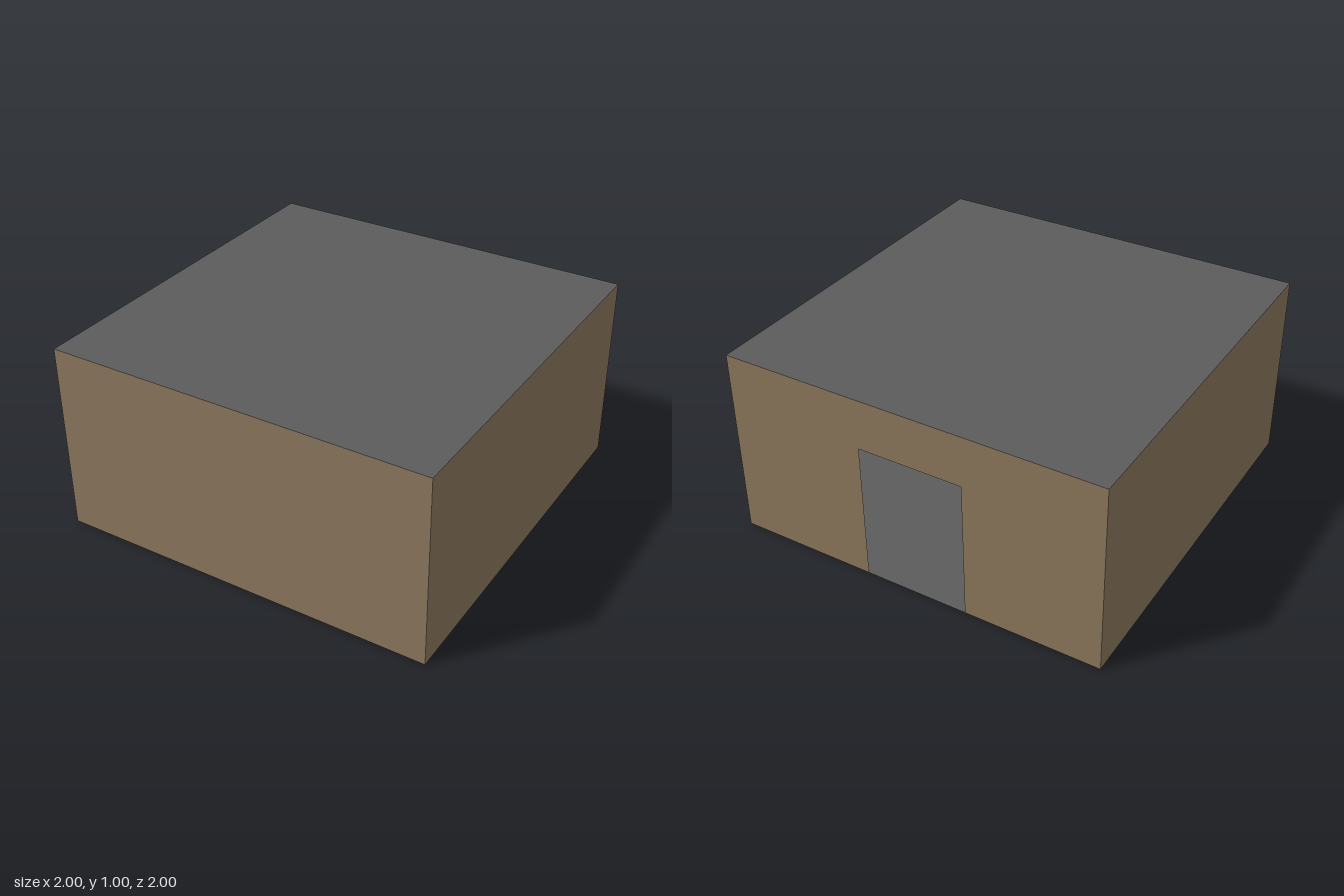
import * as THREE from 'three';

const SIZE = 2, HEIGHT = 1;
const DOOR = { left: -0.26, right: 0.29, top: 0.735 }; // as seen from behind

export function createModel() {
  const model = new THREE.Group();
  model.name = 'room';

  const wallMaterial = new THREE.MeshStandardMaterial({ color: 0x8b775c, side: THREE.DoubleSide });
  wallMaterial.name = 'tan wall';
  const slabMaterial = new THREE.MeshStandardMaterial({ color: 0x5c5c5c, side: THREE.DoubleSide });
  slabMaterial.name = 'dark grey slab';

  // Each wall is a thin sheet facing outwards, turned about the centre
  function addWall(name, angle, geometry) {
    geometry.translate(0, 0, SIZE / 2);
    const wall = new THREE.Mesh(geometry, wallMaterial);
    wall.name = name;
    wall.rotation.y = angle;
    model.add(wall);
  }
  const plainWall = () => new THREE.PlaneGeometry(SIZE, HEIGHT).translate(0, HEIGHT / 2, 0);
  addWall('frontWall', 0, plainWall());
  addWall('leftWall', Math.PI / 2, plainWall());
  addWall('rightWall', -Math.PI / 2, plainWall());

  // Back wall with a doorway notched up from the floor
  const half = SIZE / 2;
  const outline = [
    [-half, 0], [DOOR.left, 0], [DOOR.left, DOOR.top], [DOOR.right, DOOR.top],
    [DOOR.right, 0], [half, 0], [half, HEIGHT], [-half, HEIGHT],
  ].map(([x, y]) => new THREE.Vector2(x, y));
  addWall('backWallWithDoorway', Math.PI, new THREE.ShapeGeometry(new THREE.Shape(outline)));

  // Floor and flat roof
  for (const [name, y, tilt] of [['floor', 0, Math.PI / 2], ['roof', HEIGHT, -Math.PI / 2]]) {
    const slab = new THREE.Mesh(new THREE.PlaneGeometry(SIZE, SIZE), slabMaterial);
    slab.name = name;
    slab.rotation.x = tilt;
    slab.position.y = y;
    model.add(slab);
  }
  return model;
}
